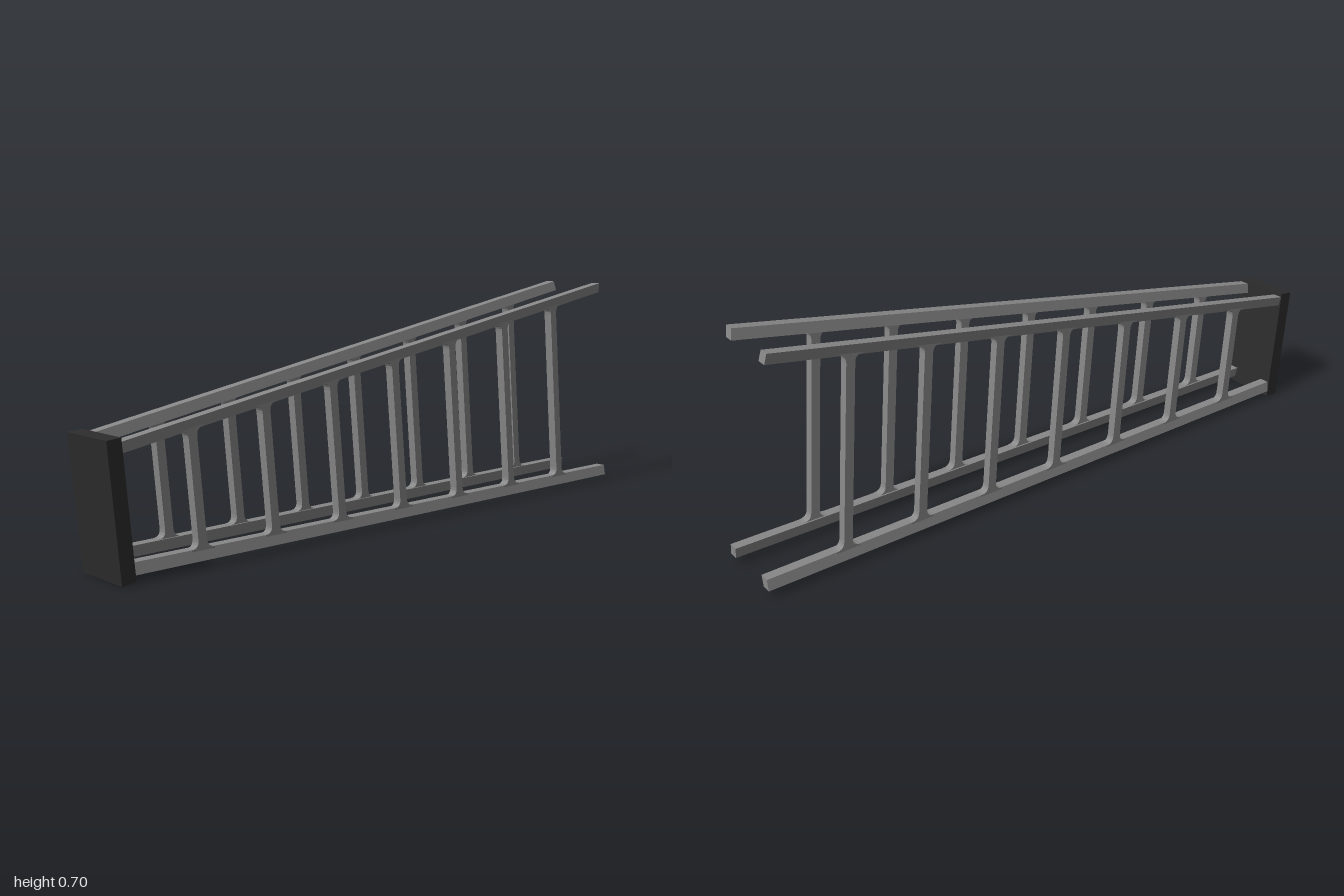
import * as THREE from 'three';

const SLOPE = -0.1735;                           // rise of the upper rails towards the back
const RAIL = 0.031, RUNG = 0.027;                // widths across x
const LOW = 0.055;                               // inner edge of the lower rails
const topInner = (z) => 0.34 + SLOPE * (z - 0.957); // inner edge of the upper rails
const splay = (z) => 0.0855 - 0.0111 * z;        // rails spread apart towards the back

const metal = new THREE.MeshStandardMaterial({ color: 0x888888, flatShading: true });
const dark = new THREE.MeshStandardMaterial({ color: 0x2c2c2c, flatShading: true });

// Extrude a (z, y) outline across x, then move it out to its side.
function sideProfile(shape, width, side, roll = () => 0) {
  const geo = new THREE.ExtrudeGeometry(shape, { depth: width, bevelEnabled: false, curveSegments: 5 });
  geo.translate(0, 0, -width / 2);
  geo.rotateY(-Math.PI / 2);
  const p = geo.attributes.position;
  for (let i = 0; i < p.count; i++) {
    const z = p.getZ(i), y = p.getY(i);
    p.setX(i, p.getX(i) + side * (splay(z) + roll(z, y)));
  }
  geo.computeVertexNormals();
  return geo;
}

function outline(points) {
  return new THREE.Shape(points.map(([z, y]) => new THREE.Vector2(z, y)));
}

// Rung with flared, filleted ends that run into both rails.
function rungShape(zBase) {
  const lean = 0.0865, h = RUNG / 2, f = 0.024, sink = 0.01;
  const at = (off, y) => [zBase + off + lean * (y - LOW), y];
  const meet = (off) => {                        // where a rung edge meets the upper rail
    const z = zBase + off;
    const y = (topInner(z) + SLOPE * -lean * LOW) / (1 - SLOPE * lean);
    return at(off, y);
  };
  const [zl, yl] = meet(-h), [zr, yr] = meet(h);
  const s = new THREE.Shape();
  s.moveTo(zBase - h - f, LOW - sink);
  s.lineTo(zBase + h + f, LOW - sink);
  s.lineTo(zBase + h + f, LOW);
  s.quadraticCurveTo(zBase + h, LOW, ...at(h, LOW + f));
  s.lineTo(...at(h, yr - f));
  s.quadraticCurveTo(zr, yr, zr + f, topInner(zr + f));
  s.lineTo(zr + f, topInner(zr + f) + sink);
  s.lineTo(zl - f, topInner(zl - f) + sink);
  s.lineTo(zl - f, topInner(zl - f));
  s.quadraticCurveTo(zl, yl, ...at(-h, yl - f));
  s.lineTo(...at(-h, LOW + f));
  s.quadraticCurveTo(zBase - h, LOW, zBase - h - f, LOW);
  s.closePath();
  return s;
}

function createSide(side) {
  const group = new THREE.Group();
  group.name = side > 0 ? 'leftLadder' : 'rightLadder';
  const add = (name, geo) => {
    const mesh = new THREE.Mesh(geo, metal);
    mesh.name = name;
    group.add(mesh);
  };

  // Rails, rolled slightly so their outer edges lean away from the middle
  const upper = outline([[-0.945, 0.667], [0.957, 0.337], [0.962, 0.368], [-0.939, 0.698]]);
  add('upperRail', sideProfile(upper, RAIL, side,
    (z, y) => (y > topInner(z) + 0.016 ? 0.003 : -0.003)));
  const lower = outline([[-1, 0.022], [0.945, 0.022], [0.945, LOW], [-1, LOW]]);
  add('lowerRail', sideProfile(lower, RAIL, side, (z, y) => (y < 0.04 ? 0.003 : -0.003)));

  // Evenly spaced rungs
  for (let i = 0; i < 7; i++) {
    add('rung' + (i + 1), sideProfile(rungShape(0.715 - i * 0.2445), RUNG, side));
  }
  return group;
}

export function createModel() {
  const model = new THREE.Group();
  model.name = 'ladderFrame';
  model.add(createSide(1), createSide(-1));

  // Leaning end plate at the front
  const plate = new THREE.Mesh(new THREE.BoxGeometry(0.188, 0.377, 0.043), dark);
  plate.name = 'endPlate';
  plate.position.set(0, 0.19, 0.9625);
  plate.rotation.x = 0.0865;
  model.add(plate);
  return model;
}
